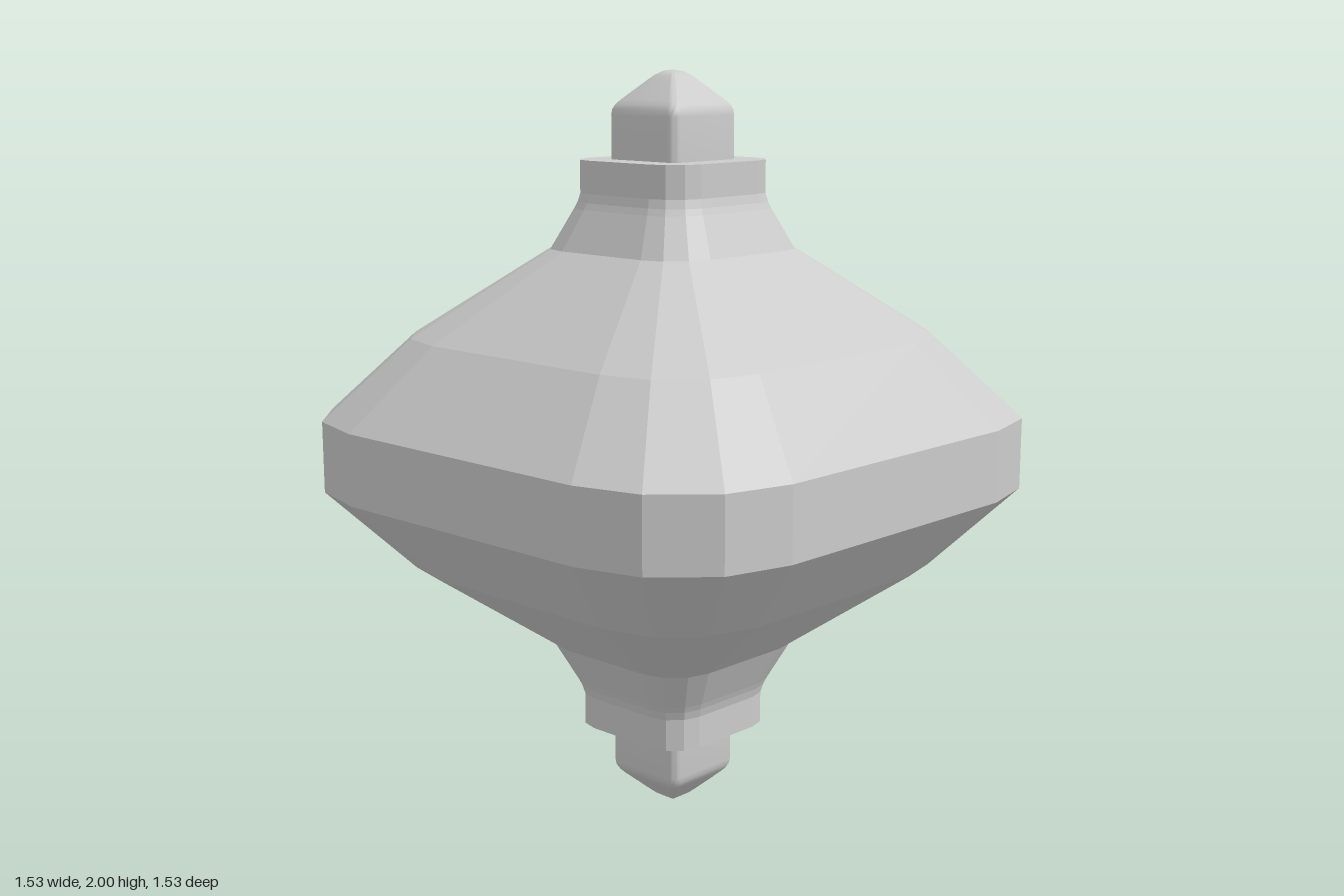
import * as THREE from 'three';
import { toCreasedNormals } from 'three/addons/utils/BufferGeometryUtils.js';

// Square ring with rounded corners: half width h, corner radius r, n segments per corner
function ring(h, r, n) {
  const pts = [];
  for (let q = 0; q < 4; q++) {
    const mid = Math.PI / 4 + q * Math.PI / 2;
    const cx = Math.sign(Math.cos(mid)) * (h - r);
    const cy = Math.sign(Math.sin(mid)) * (h - r);
    for (let i = 0; i <= n; i++) {
      const a = (q + i / n) * Math.PI / 2;
      pts.push([cx + r * Math.cos(a), -(cy + r * Math.sin(a))]);
    }
  }
  return pts;
}

// Closed loft through rows of [half width, y], listed from bottom to top
function loft(rows, cornerRatio, n) {
  const count = 4 * (n + 1);
  const pos = [], idx = [];
  for (const [h, y] of rows)
    for (const [x, z] of ring(h, h * cornerRatio, n)) pos.push(x, y, z);
  for (let i = 0; i < rows.length - 1; i++)
    for (let j = 0; j < count; j++) {
      const k = (j + 1) % count;
      const a = i * count + j, b = i * count + k;
      idx.push(a, b, b + count, a, b + count, a + count);
    }
  // End caps
  const top = (rows.length - 1) * count;
  for (let j = 1; j < count - 1; j++) {
    idx.push(top, top + j, top + j + 1);
    idx.push(0, j + 1, j);
  }
  const geo = new THREE.BufferGeometry();
  geo.setAttribute('position', new THREE.Float32BufferAttribute(pos, 3));
  geo.setIndex(idx);
  return geo;
}

const mirrorRows = rows => rows.map(([h, y]) => [h, 2 - y]).reverse();

function createModel() {
  const group = new THREE.Group();
  const grey = new THREE.MeshStandardMaterial({ color: 0xcccccc });
  grey.name = 'light grey';

  const add = (name, geo, crease) => {
    const mesh = new THREE.Mesh(toCreasedNormals(geo, crease), grey);
    mesh.name = name;
    group.add(mesh);
  };

  // Faceted bulb with a collar at each end
  const upper = [[0.765, 1.095], [0.57, 1.31], [0.265, 1.54], [0.213, 1.645],
    [0.206, 1.662], [0.2, 1.685], [0.2, 1.771]];
  add('body', loft([...mirrorRows(upper), ...upper], 0.464, 3), 0.02);

  // Soft square finials with pyramid tips
  const finial = [[0.12, 1.76], [0.12, 1.885], [0.118, 1.9], [0.111, 1.913], [0.1, 1.925],
    [0.05, 1.973], [0.036, 1.986], [0.02, 1.996], [0.001, 2]];
  add('topFinial', loft(finial, 0.2, 5), 0.7);
  add('bottomFinial', loft(mirrorRows(finial), 0.2, 5), 0.7);

  return group;
}

export { createModel };
